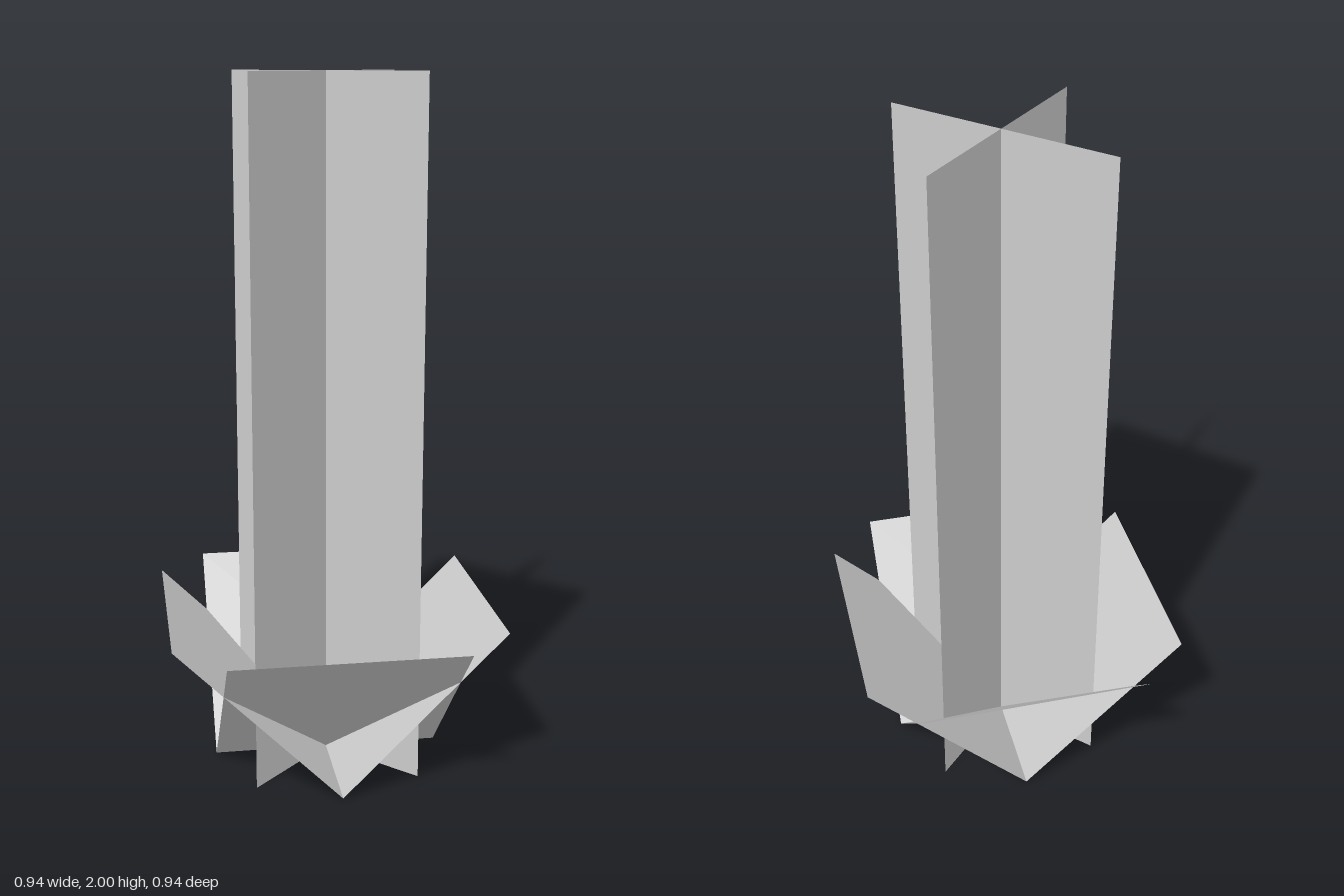
import * as THREE from 'three';

const SIZE = 2 / 3; // width of every panel and length of a leaf
const HEIGHT = 2;

export function createModel() {
  const model = new THREE.Group();
  model.name = 'crossedPlant';
  const material = new THREE.MeshStandardMaterial({ color: 0xcccccc, side: THREE.DoubleSide });

  // Two tall panels crossing on the diagonals
  const stemGeometry = new THREE.PlaneGeometry(SIZE, HEIGHT).translate(0, HEIGHT / 2, 0);
  for (let i = 0; i < 2; i++) {
    const stem = new THREE.Mesh(stemGeometry, material);
    stem.name = `stemPanel${i + 1}`;
    stem.rotation.y = Math.PI / 4 + i * Math.PI / 2;
    model.add(stem);
  }

  // Four square leaves hinged at the foot, leaning outward by 45 degrees
  const leafGeometry = new THREE.PlaneGeometry(SIZE, SIZE)
    .translate(0, SIZE / 2, 0)
    .rotateX(Math.PI / 4);
  ['frontLeaf', 'leftLeaf', 'backLeaf', 'rightLeaf'].forEach((name, i) => {
    const leaf = new THREE.Mesh(leafGeometry, material);
    leaf.name = name;
    leaf.rotation.y = i * Math.PI / 2;
    model.add(leaf);
  });

  return model;
}
